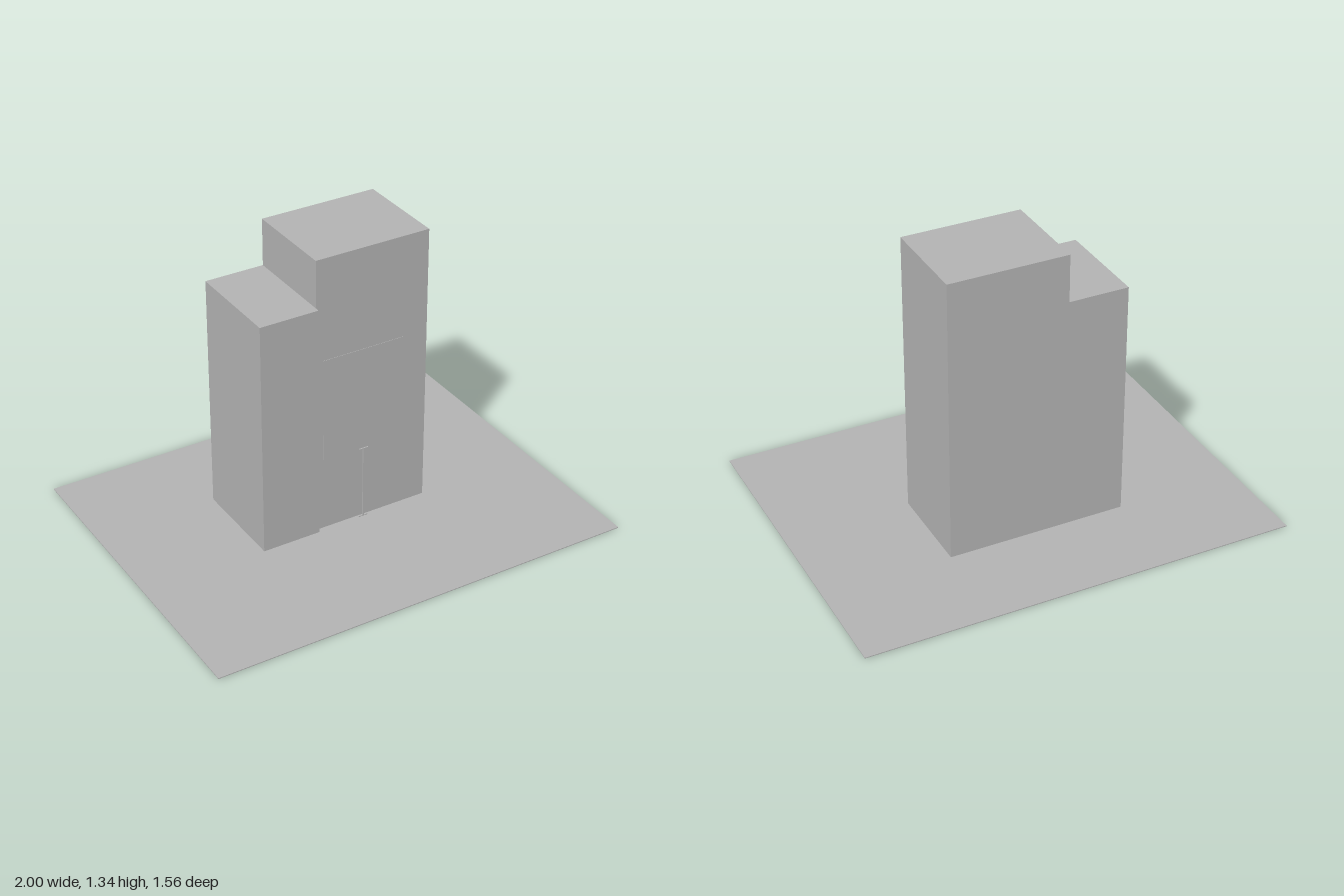
import * as THREE from 'three';

export function createModel() {
  const group = new THREE.Group();
  const grey = new THREE.MeshStandardMaterial({ color: 0xb2b2b2 });
  grey.name = 'plain grey';

  // Adds a box spanning the given ranges on each axis
  function block(name, [x0, x1], [y0, y1], [z0, z1]) {
    const mesh = new THREE.Mesh(new THREE.BoxGeometry(x1 - x0, y1 - y0, z1 - z0), grey);
    mesh.name = name;
    mesh.position.set((x0 + x1) / 2, (y0 + y1) / 2, (z0 + z1) / 2);
    group.add(mesh);
  }

  // Ground slab
  block('ground', [-1, 1], [0, 0.004], [-0.78, 0.78]);

  // Tall block and the lower wing that steps slightly forward
  block('mainTower', [-0.144, 0.408], [0.004, 1.338], [-0.333, 0.11]);
  block('sideWing', [-0.422, -0.144], [0.004, 1.117], [-0.333, 0.131]);

  // Thin panel on the tower front
  block('facadePanel', [-0.112, 0.288], [0.36, 0.855], [0.11, 0.112]);

  // Slim post with a flat plate at each end
  block('post', [0.084, 0.09], [0.004, 0.36], [0.118, 0.124]);
  for (const [name, y] of [['postFoot', 0.004], ['postCap', 0.357]]) {
    block(name, [0.065, 0.109], [y, y + 0.004], [0.118, 0.124]);
  }

  return group;
}
